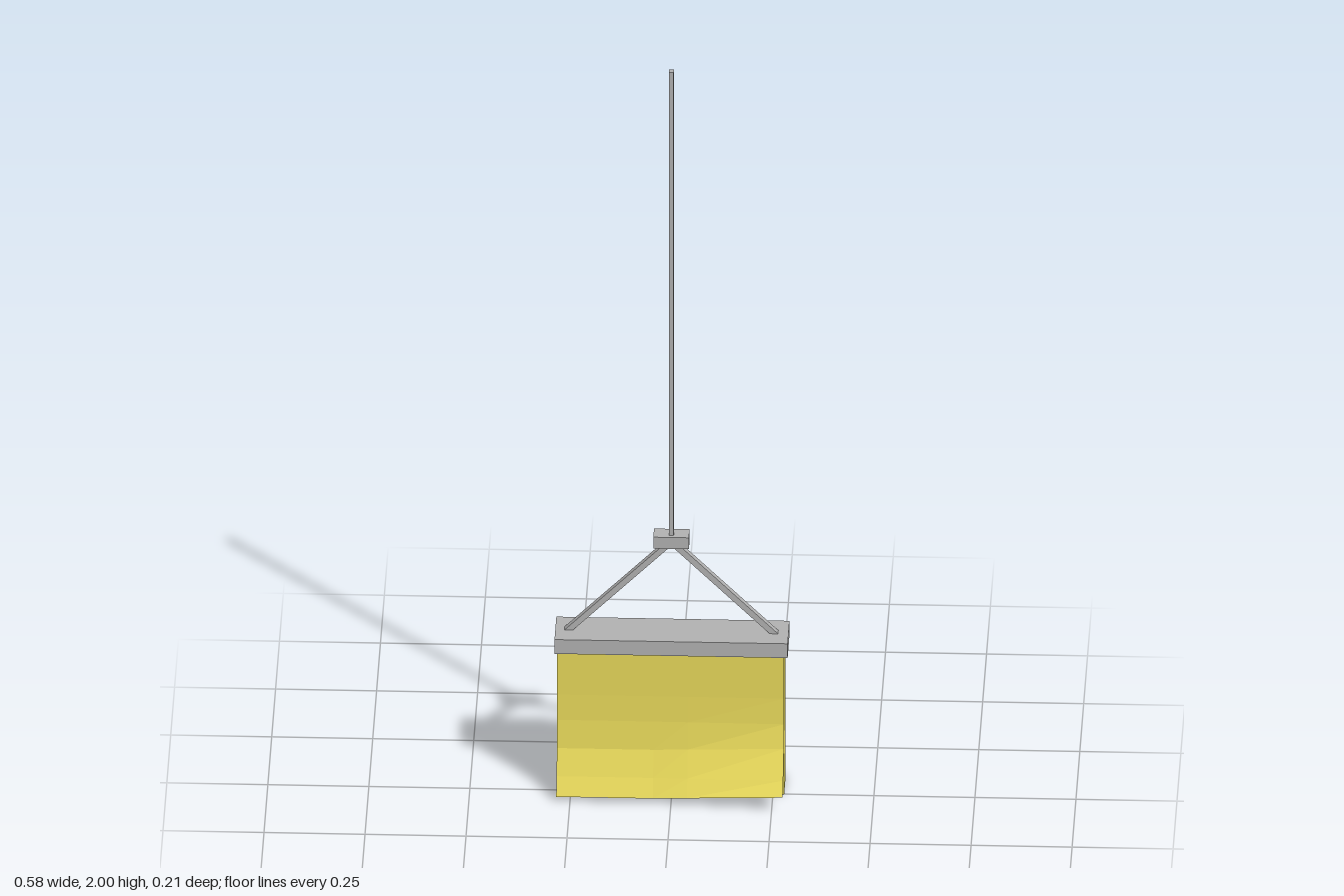
import * as THREE from 'three';

export function createModel() {
  const group = new THREE.Group();
  const metal = new THREE.MeshStandardMaterial({ color: 0xb0b0b0, flatShading: true });
  const yellow = new THREE.MeshStandardMaterial({ color: 0xe6d75a, flatShading: true });
  const paper = yellow.clone();
  paper.side = THREE.DoubleSide;

  const add = (name, geometry, material) => {
    const mesh = new THREE.Mesh(geometry, material);
    mesh.name = name;
    group.add(mesh);
    return mesh;
  };
  // Box given by its lower and upper corners
  const box = (name, lo, hi, material) => {
    const size = hi.map((v, i) => v - lo[i]);
    const mesh = add(name, new THREE.BoxGeometry(...size), material);
    mesh.position.set(...hi.map((v, i) => (v + lo[i]) / 2));
    return mesh;
  };

  // Hanging pad, its binding bar, hub and long pull rod
  box('pad', [-0.284, 0, -0.097], [0.278, 0.39, 0.002], yellow);
  box('bindingBar', [-0.29, 0.39, -0.105], [0.287, 0.43, 0.015], metal);
  box('hub', [-0.047, 0.668, -0.072], [0.041, 0.7, -0.027], metal);
  box('rod', [-0.009, 0.7, -0.053], [0.003, 2, -0.037], metal);

  // Slanted struts from the bar up to the hub
  const top = new THREE.Vector2(-0.003, 0.682);
  for (const side of [-1, 1]) {
    const foot = new THREE.Vector2(-0.003 + side * 0.259, 0.425);
    const dir = top.clone().sub(foot);
    const strut = add(side < 0 ? 'rightStrut' : 'leftStrut',
      new THREE.BoxGeometry(0.015, dir.length(), 0.018), metal);
    strut.position.set((top.x + foot.x) / 2, (top.y + foot.y) / 2, -0.045);
    strut.rotation.z = Math.atan2(-dir.x, dir.y);
  }

  // Front sheet: [y, z] profiles of the plain edge and of the lifted corner
  const plain = [[0.39, 0.004], [0.27, 0.004], [0.2, 0.006], [0.125, 0.014], [0.06, 0.04], [0.015, 0.064]];
  const lifted = [[0.39, 0.004], [0.27, 0.004], [0.2, 0.008], [0.14, 0.025], [0.075, 0.07], [0.045, 0.103]];
  const columns = [-0.284, -0.045, 0.04, 0.278];
  const rows = plain.length - 1;
  const sheet = new THREE.PlaneGeometry(1, 1, columns.length - 1, rows);
  const pos = sheet.attributes.position;
  for (let r = 0, i = 0; r <= rows; r++) {
    for (const x of columns) {
      const t = Math.max(0, (x + 0.045) / 0.323);
      pos.setXYZ(i++, x,
        THREE.MathUtils.lerp(plain[r][0], lifted[r][0], t),
        THREE.MathUtils.lerp(plain[r][1], lifted[r][1], t));
    }
  }
  sheet.computeVertexNormals();
  add('curledSheet', sheet, paper);

  return group;
}
